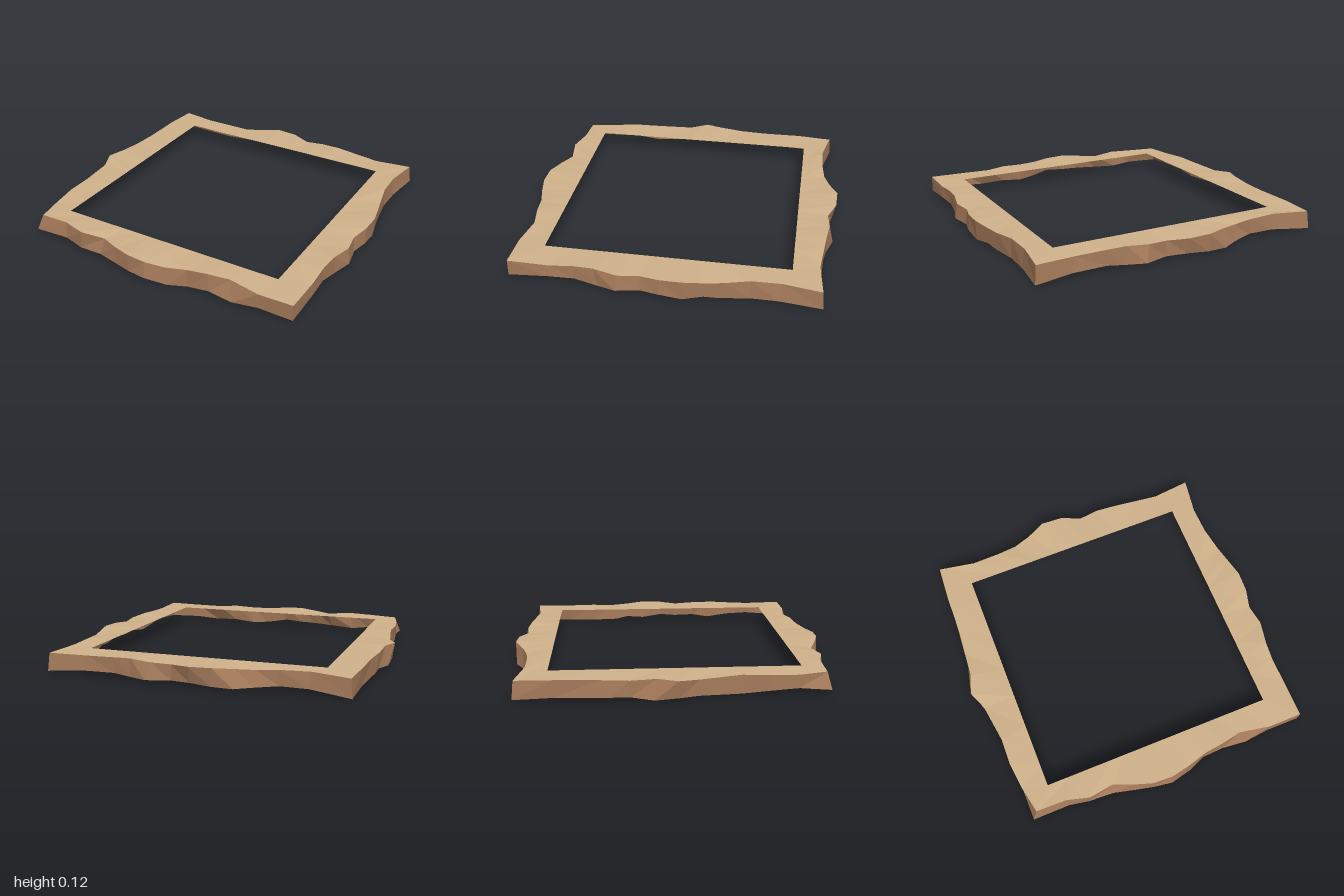
import * as THREE from 'three';

// Inner opening
const X0 = -0.73, X1 = 0.75, Z0 = -0.75, Z1 = 0.73;

// Each side's rough edge: [along, rim outward, foot along, foot outward, foot height]
const front = [
  [-0.85, 0.855, -0.885, 0.88, 0.02], [-0.66, 0.86, -0.65, 0.88, 0.03], [-0.51, 0.9, -0.525, 0.9, 0.01],
  [-0.35, 0.875, -0.365, 0.91, 0.02], [-0.235, 0.925, -0.225, 0.945, 0.022], [-0.115, 0.965, -0.115, 0.97, 0.02],
  [0.01, 0.97, 0.01, 0.99, 0.025], [0.135, 0.945, 0.15, 0.955, 0.005], [0.26, 0.91, 0.26, 0.91, 0.005],
  [0.39, 0.895, 0.4, 0.905, 0.02], [0.52, 0.87, 0.555, 0.92, 0.012], [0.715, 0.905, 0.715, 0.905, 0.025],
  [0.93, 0.905, 0.93, 0.905, 0.02],
];
const right = [
  [-0.93, 0.93, -0.94, 0.94, 0.01], [-0.7, 0.895, -0.69, 0.91, 0.01], [-0.525, 0.9, -0.525, 0.905, 0.007],
  [-0.37, 0.93, -0.35, 0.93, 0.005], [-0.26, 0.955, -0.26, 0.95, 0.02], [-0.14, 0.98, -0.14, 0.975, 0.005],
  [-0.01, 0.975, 0, 0.98, 0.025], [0.11, 0.945, 0.11, 0.955, 0.022], [0.24, 0.965, 0.25, 0.98, 0.02],
  [0.385, 0.935, 0.36, 0.94, 0.01], [0.505, 0.925, 0.505, 0.925, 0.035], [0.66, 0.93, 0.66, 0.935, 0.04],
  [0.905, 0.93, 0.905, 0.93, 0.02],
];
const back = [
  [-0.9, 0.93, -0.91, 0.94, 0.01], [-0.67, 0.885, -0.66, 0.895, 0.03], [-0.49, 0.89, -0.49, 0.89, 0.03],
  [-0.36, 0.905, -0.355, 0.93, 0.02], [-0.25, 0.94, -0.25, 0.98, 0.015], [-0.13, 0.995, -0.12, 0.99, 0.02],
  [0.01, 0.99, 0.01, 0.97, 0.025], [0.135, 0.94, 0.135, 0.94, 0.02], [0.255, 0.953, 0.28, 0.98, 0.02],
  [0.39, 0.937, 0.4, 0.94, 0.02], [0.505, 0.925, 0.505, 0.925, 0.03], [0.69, 0.907, 0.715, 0.917, 0.025],
  [0.93, 0.93, 0.94, 0.94, 0.01],
];
const left = [
  [-0.93, 0.9, -0.94, 0.91, 0.01], [-0.71, 0.915, -0.7, 0.915, 0.02], [-0.45, 0.92, -0.4, 0.935, 0.02],
  [-0.28, 0.935, -0.28, 0.935, 0.02], [-0.13, 0.945, -0.145, 0.97, 0.01], [-0.01, 0.985, -0.01, 0.97, 0.02],
  [0.11, 0.935, 0.11, 0.935, 0.02], [0.355, 0.9, 0.355, 0.9, 0.015], [0.515, 0.905, 0.515, 0.905, 0.03],
  [0.69, 0.885, 0.69, 0.885, 0.035], [0.855, 0.85, 0.88, 0.885, 0.02],
];

// Side layout: place(along, outward) gives [x, z]; flip keeps faces outward
const sides = [
  { name: 'front', rows: front, place: (a, o) => [a, o], inner: [X0, X1, Z1], flip: false },
  { name: 'right', rows: right, place: (a, o) => [o, a], inner: [Z0, Z1, X1], flip: true },
  { name: 'back', rows: back, place: (a, o) => [a, -o], inner: [X0, X1, -Z0], flip: true },
  { name: 'left', rows: left, place: (a, o) => [-o, a], inner: [Z0, Z1, -X0], flip: false },
];

// Strip of quads between two lines of points
function strip(lower, upper, flip) {
  const index = [], n = lower.length;
  for (let i = 0; i < n - 1; i++) {
    const a = i, b = i + 1, c = n + i + 1, d = n + i;
    index.push(...(flip ? [a, c, b, a, d, c] : [a, b, c, a, c, d]));
  }
  const g = new THREE.BufferGeometry();
  g.setAttribute('position', new THREE.Float32BufferAttribute([...lower, ...upper].flat(), 3));
  g.setIndex(index);
  g.computeVertexNormals();
  return g;
}

export function createModel() {
  const group = new THREE.Group();
  group.name = 'groundBorder';
  const material = (color) => new THREE.MeshStandardMaterial({ color, flatShading: true, side: THREE.DoubleSide });
  const sand = material(0xd2b48c), earth = material(0xa67b5b);

  for (const { name, rows, place, inner, flip } of sides) {
    const point = (a, o, y) => {
      const [x, z] = place(a, o);
      return [x, y, z];
    };
    const start = rows[0][0], span = rows[rows.length - 1][0] - start;
    const corner = (i) => i === 0 || i === rows.length - 1;

    // Rim undulates gently; corners share one height
    const rim = rows.map(([a, o], i) => point(a, o, corner(i) ? 0.12 : 0.122 + 0.007 * Math.cos((a + 0.1) * 12.5)));
    const foot = rows.map(([, , a, o, y]) => point(a, o, y));
    const opening = rows.map(([a]) =>
      point(inner[0] + ((a - start) / span) * (inner[1] - inner[0]), inner[2], 0.122));

    const top = new THREE.Mesh(strip(rim, opening, flip), sand);
    top.name = name + 'TopSurface';
    const skirt = new THREE.Mesh(strip(foot, rim, flip), earth);
    skirt.name = name + 'RockySkirt';
    group.add(top, skirt);
  }
  return group;
}
